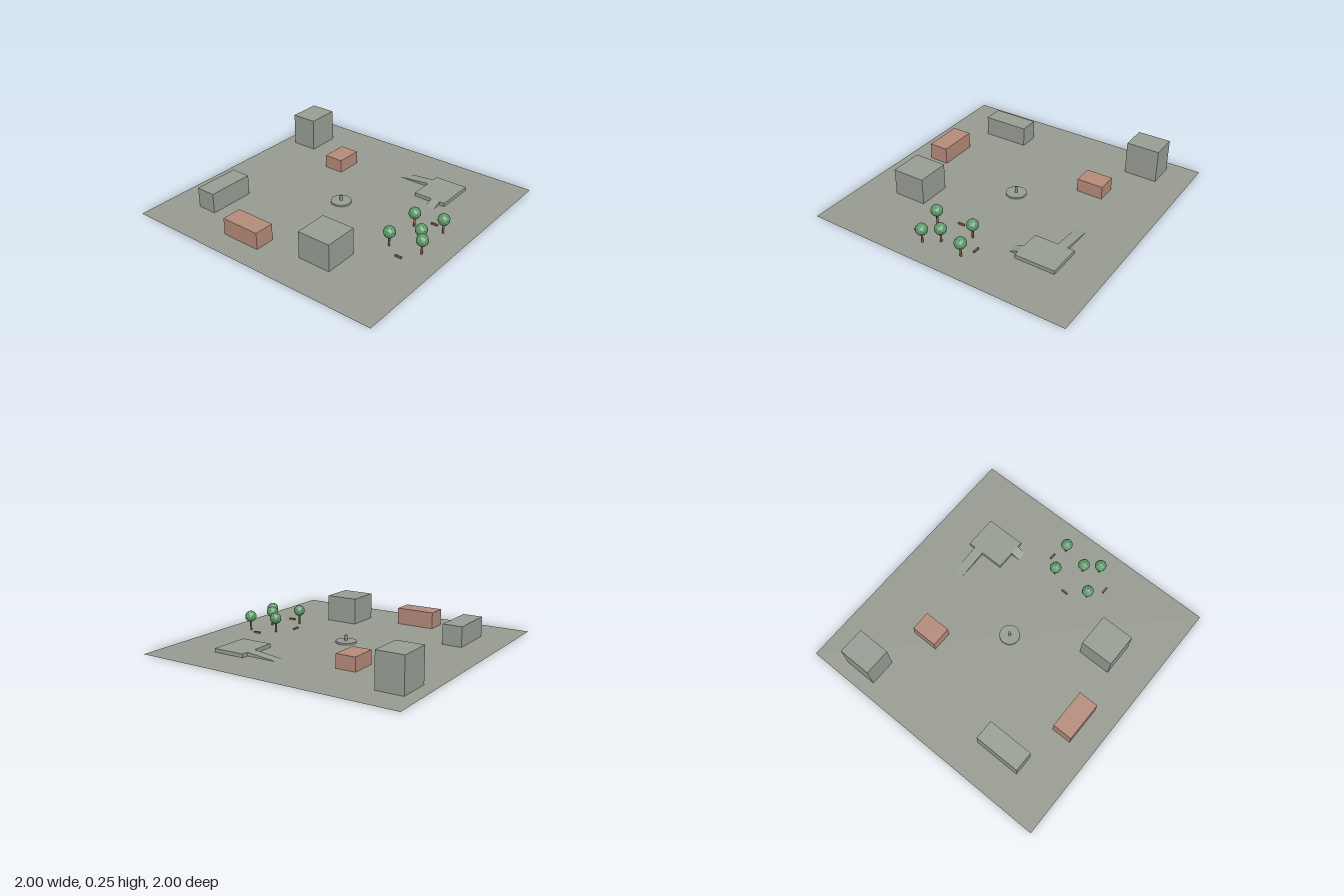
import * as THREE from 'three';

const mat = (name, color) => new THREE.MeshStandardMaterial({ name, color });

export function createModel() {
  const town = new THREE.Group();
  town.name = 'townSquare';

  const ground = mat('groundGrey', 0x979a90);
  ground.side = THREE.DoubleSide;
  const stone = mat('stoneGrey', 0x979d93);
  const brick = mat('brick', 0xb48a79);
  const wood = mat('wood', 0x94604a);
  const leaf = mat('leafGreen', 0x5f9a6c);
  leaf.flatShading = true;

  const add = (name, geometry, material, x, y, z, parent = town) => {
    const mesh = new THREE.Mesh(geometry, material);
    mesh.name = name;
    mesh.position.set(x, y, z);
    parent.add(mesh);
    return mesh;
  };
  // Box standing just on top of the ground
  const block = (name, material, x, z, w, h, d) =>
    add(name, new THREE.BoxGeometry(w, h, d), material, x, h / 2 + 0.0005, z);

  add('ground', new THREE.PlaneGeometry(2, 2).rotateX(-Math.PI / 2), ground, 0, 0, 0);

  // Buildings
  block('longBuilding', stone, -0.503, -0.68, 0.35, 0.15, 0.15);
  block('towerBuilding', stone, 0.65, -0.8, 0.25, 0.25, 0.2);
  block('squareBuilding', stone, -0.6, 0.35, 0.25, 0.2, 0.25);
  block('brickHall', brick, -0.75, -0.2, 0.15, 0.125, 0.3);
  block('brickHouse', brick, 0.45, -0.35, 0.2, 0.1, 0.15);

  // Fountain in the middle
  const fountain = new THREE.Group();
  fountain.name = 'fountain';
  town.add(fountain);
  add('basin', new THREE.CylinderGeometry(0.075, 0.075, 0.0125, 32), stone, 0, 0.00675, 0, fountain);
  add('column', new THREE.CylinderGeometry(0.01, 0.01, 0.045, 16), stone, 0, 0.033, 0, fountain);

  // Raised platform with two ramps
  const deck = 0.027;
  block('platform', stone, 0.55, 0.5, 0.3, deck, 0.25);
  // Wedge that rises along +x to the platform, centred on its width
  const wedge = (length, width) => {
    const side = new THREE.Shape([
      new THREE.Vector2(-length, 0), new THREE.Vector2(0, 0), new THREE.Vector2(0, deck),
    ]);
    return new THREE.ExtrudeGeometry(side, { depth: width, bevelEnabled: false })
      .translate(0, 0, -width / 2);
  };
  add('shortRamp', wedge(0.07, 0.07), stone, 0.4, 0.0005, 0.55);
  add('longRamp', wedge(0.245, 0.075), stone, 0.612, 0.0005, 0.375).rotation.y = -Math.PI / 2;

  // Trees
  const trunkShape = new THREE.CylinderGeometry(0.0075, 0.0075, 0.075, 8);
  const crownShape = new THREE.IcosahedronGeometry(0.044, 1);
  for (const [x, z] of [[-0.25, 0.6], [0.05, 0.6], [-0.1, 0.75], [-0.2, 0.823], [0.1, 0.8]]) {
    const tree = new THREE.Group();
    tree.name = 'tree';
    tree.position.set(x, 0, z);
    town.add(tree);
    add('trunk', trunkShape, wood, 0, 0.038, 0, tree);
    add('crown', crownShape, leaf, 0, 0.107, 0, tree);
  }

  // Benches
  block('bench', wood, -0.1, 0.525, 0.05, 0.0125, 0.0125);
  block('bench', wood, -0.325, 0.725, 0.0125, 0.0125, 0.05);
  block('bench', wood, 0.15, 0.7, 0.0125, 0.0125, 0.05);

  return town;
}
